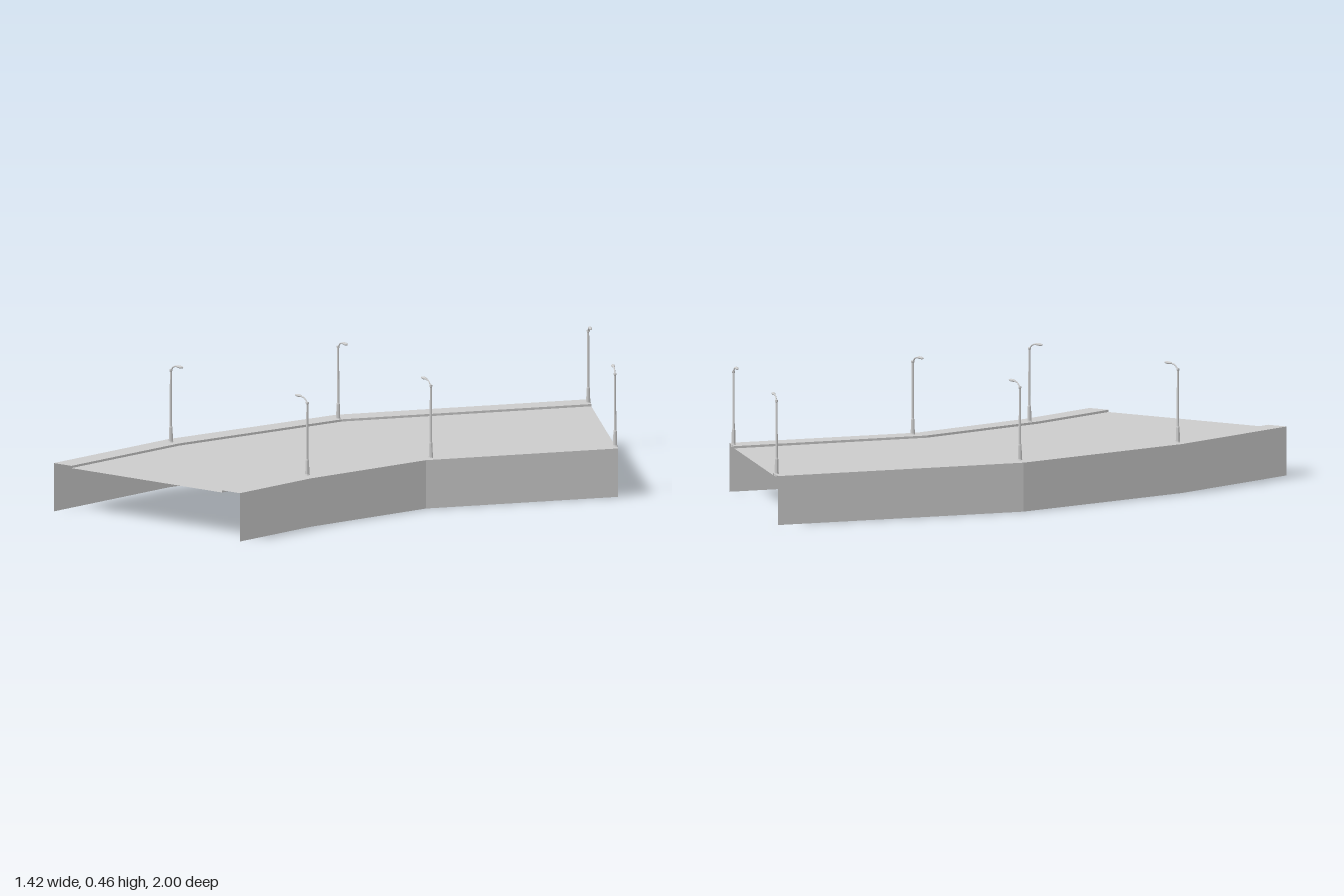
import * as THREE from 'three';

const material = new THREE.MeshStandardMaterial({ color: 0xcccccc, flatShading: true, side: THREE.DoubleSide });

const TOP = 0.174, ROAD = 0.166;

// Plan outlines as [x, z], from the front end to the back end
const leftEdge = [[-0.71, 1], [-0.638, 0.435], [-0.422, -0.25], [0.12, -1]];
const leftCurb = [[-0.632, 1], [-0.563, 0.468], [-0.358, -0.203], [0.178, -0.942]];
const rightCurb = [[0.039, 1], [0.089, 0.622], [0.228, 0.122], [0.651, -0.469]];
const rightEdge = [[0.118, 1], [0.163, 0.65], [0.296, 0.16], [0.71, -0.41]];

// Open strip between two plan lines, each at its own height
function strip(name, a, ya, b, yb) {
  const position = [], index = [];
  a.forEach(([x, z], i) => {
    position.push(x, ya, z, b[i][0], yb, b[i][1]);
    if (i) {
      const k = 2 * i;
      index.push(k - 2, k - 1, k, k - 1, k + 1, k);
    }
  });
  const geometry = new THREE.BufferGeometry();
  geometry.setAttribute('position', new THREE.Float32BufferAttribute(position, 3));
  geometry.setIndex(index);
  const flat = geometry.toNonIndexed();
  flat.computeVertexNormals();
  const mesh = new THREE.Mesh(flat, material);
  mesh.name = name;
  return mesh;
}

function part(name, geometry, x, y) {
  const mesh = new THREE.Mesh(geometry, material);
  mesh.name = name;
  mesh.position.set(x, y, 0);
  return mesh;
}

// Street lamp standing at the origin with its arm along +x
function streetLamp() {
  const lamp = new THREE.Group();
  lamp.name = 'streetLamp';

  // Stepped, tapering pole with a small collar at the top
  const profile = [[0.009, 0], [0.009, 0.008], [0.0075, 0.012], [0.0062, 0.06],
    [0.0045, 0.066], [0.0036, 0.262], [0.0055, 0.264], [0.0055, 0.27], [0, 0.272]];
  lamp.add(part('pole', new THREE.LatheGeometry(profile.map(p => new THREE.Vector2(...p)), 8), 0, 0));

  // Bent arm
  const path = new THREE.CatmullRomCurve3([[0, 0.266], [0.01, 0.277], [0.019, 0.283], [0.034, 0.285]]
    .map(([x, y]) => new THREE.Vector3(x, y, 0)));
  lamp.add(part('arm', new THREE.TubeGeometry(path, 6, 0.0025, 6), 0, 0));

  // Flattened lamp head
  const head = new THREE.SphereGeometry(1, 10, 6);
  head.scale(0.02, 0.005, 0.0065);
  lamp.add(part('lampHead', head, 0.047, 0.286));
  return lamp;
}

export function createModel() {
  const model = new THREE.Group();
  model.name = 'curvedRoad';

  // Road deck, curbs, pavements and side walls
  model.add(
    strip('road', leftCurb, ROAD, rightCurb, ROAD),
    strip('leftCurb', leftCurb, TOP, leftCurb, ROAD),
    strip('rightCurb', rightCurb, ROAD, rightCurb, TOP),
    strip('leftPavement', leftEdge, TOP, leftCurb, TOP),
    strip('rightPavement', rightCurb, TOP, rightEdge, TOP),
    strip('leftWall', leftEdge, 0, leftEdge, TOP),
    strip('rightWall', rightEdge, TOP, rightEdge, 0),
  );

  // Lamps as [x, z, arm direction x, arm direction z]
  const lamps = [
    [-0.601, 0.468, 0.98, 0.2], [-0.376, -0.203, 0.93, 0.37], [0.156, -0.953, 0.72, 0.69],
    [0.117, 0.611, -0.98, -0.2], [0.284, 0.117, -0.93, -0.37], [0.675, -0.437, -0.72, -0.69],
  ];
  for (const [x, z, dx, dz] of lamps) {
    const lamp = streetLamp();
    lamp.position.set(x, ROAD, z);
    lamp.rotation.y = Math.atan2(-dz, dx);
    model.add(lamp);
  }
  return model;
}
